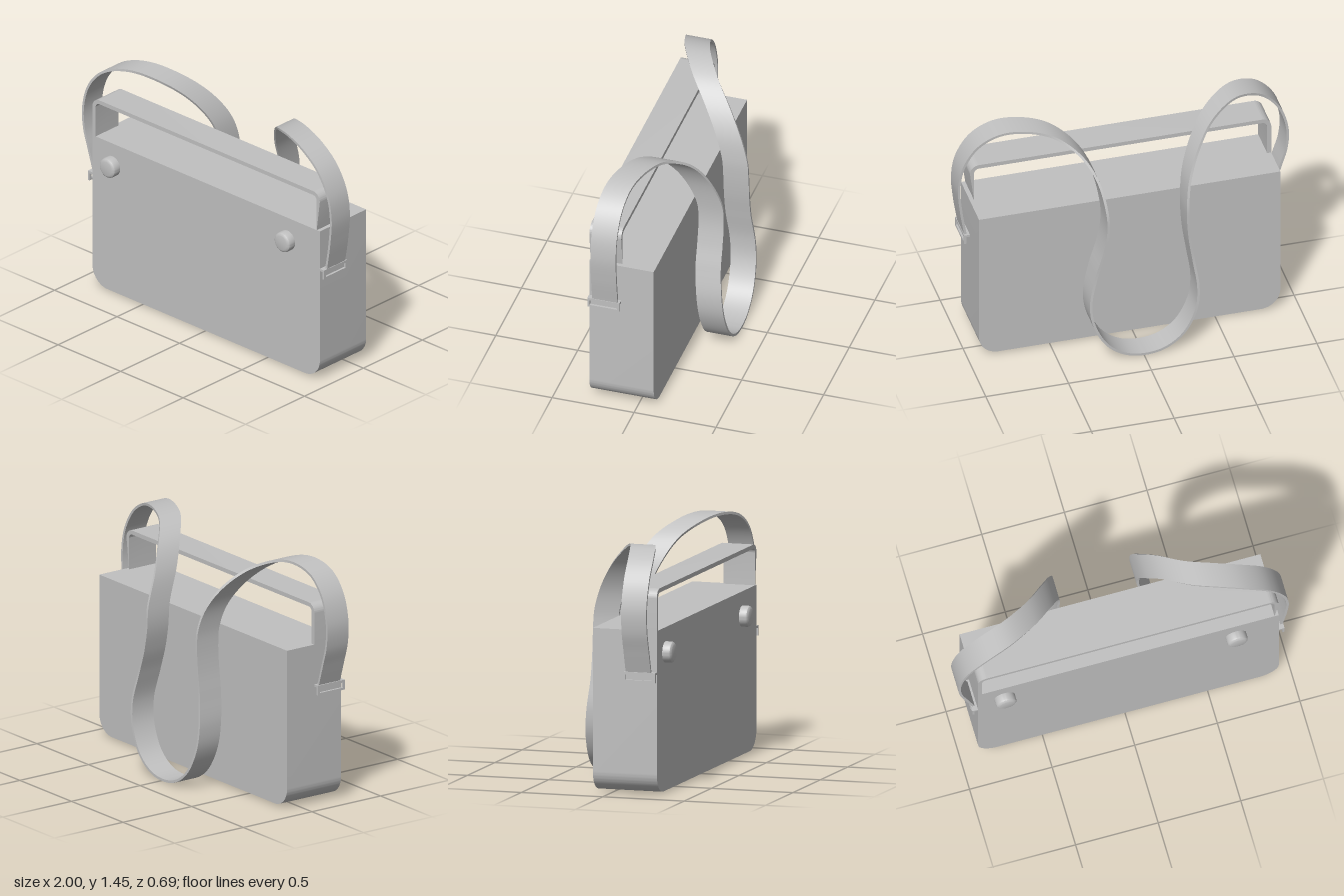
import * as THREE from 'three';
import { toCreasedNormals } from 'three/addons/utils/BufferGeometryUtils.js';

const grey = new THREE.MeshStandardMaterial({ color: 0xc0c0c0 });
grey.name = 'light grey';

const LEFT = -0.89, RIGHT = 0.93, TOP = 0.975, FRONT = 0.295;

function part(name, geometry) {
  const mesh = new THREE.Mesh(geometry, grey);
  mesh.name = name;
  return mesh;
}

// Extrude a front-facing shape from zBack to zFront with smooth rounded corners
function extrude(shape, zBack, zFront) {
  const g = new THREE.ExtrudeGeometry(shape, { depth: zFront - zBack, bevelEnabled: false, curveSegments: 14 });
  g.translate(0, 0, zBack);
  return toCreasedNormals(g, 0.5);
}

// Bag body: square at the top, rounded at the bottom
function bodyShape() {
  const r = 0.12, bottom = 0.012, s = new THREE.Shape();
  s.moveTo(RIGHT, TOP);
  s.lineTo(LEFT, TOP);
  s.lineTo(LEFT, bottom + r);
  s.absarc(LEFT + r, bottom + r, r, Math.PI, Math.PI * 1.5);
  s.lineTo(RIGHT - r, bottom);
  s.absarc(RIGHT - r, bottom + r, r, Math.PI * 1.5, Math.PI * 2);
  return s;
}

// Wide flat handle: an inverted U of constant thickness
function handleShape() {
  const t = 0.025, R = 0.055, r = R - t, top = 1.22, s = new THREE.Shape();
  s.moveTo(RIGHT, TOP);
  s.absarc(RIGHT - R, top - R, R, 0, Math.PI / 2);
  s.absarc(LEFT + R, top - R, R, Math.PI / 2, Math.PI);
  s.lineTo(LEFT, TOP);
  s.lineTo(LEFT + t, TOP);
  s.absarc(LEFT + R, top - R, r, Math.PI, Math.PI / 2, true);
  s.absarc(RIGHT - R, top - R, r, Math.PI / 2, 0, true);
  s.lineTo(RIGHT - t, TOP);
  return s;
}

// Round knob with a softened rim, facing the front
function knob(x) {
  const profile = [[0, 0], [0.062, 0], [0.062, 0.036], [0.059, 0.045], [0.049, 0.053], [0.045, 0.054], [0, 0.054]];
  const g = new THREE.LatheGeometry(profile.map(p => new THREE.Vector2(...p)), 40);
  g.rotateX(Math.PI / 2);
  g.translate(x, 0.83, FRONT);
  return part('knob', toCreasedNormals(g, 0.45));
}

// Slotted buckle plate with a short bar joining it to the bag's side
function buckle(sideX, dir, name) {
  const group = new THREE.Group();
  group.name = name;
  const rect = (Type, w, y0, y1) => new Type([[-w, y0], [w, y0], [w, y1], [-w, y1]].map(p => new THREE.Vector2(...p)));
  const frame = rect(THREE.Shape, 0.098, 0.672, 0.731);
  frame.holes.push(rect(THREE.Path, 0.084, 0.685, 0.717));
  const g = new THREE.ExtrudeGeometry(frame, { depth: 0.014, bevelEnabled: false });
  g.translate(0, 0, -0.007);
  g.rotateY(Math.PI / 2);
  g.translate(sideX + dir * 0.028, 0, 0.198);
  const bar = new THREE.BoxGeometry(0.036, 0.014, 0.196);
  bar.translate(sideX + dir * 0.017, 0.725, 0.198);
  group.add(part('buckleFrame', g), part('buckleBar', bar));
  return group;
}

// Strap centre line, from one buckle around the back to the other
const strapPath = [
  [-0.908, 0.725, 0.19], [-0.95, 0.86, 0.19], [-0.985, 0.98, 0.19], [-0.991, 1.12, 0.19],
  [-0.94, 1.28, 0.19], [-0.83, 1.395, 0.18], [-0.67, 1.437, 0.135], [-0.5, 1.38, 0.035],
  [-0.38, 1.265, -0.08], [-0.305, 1.12, -0.17], [-0.28, 0.98, -0.215], [-0.279, 0.87, -0.223],
  [-0.29, 0.73, -0.224], [-0.312, 0.58, -0.227], [-0.334, 0.4, -0.245], [-0.318, 0.26, -0.256],
  [-0.24, 0.11, -0.264], [-0.13, 0.03, -0.267], [-0.01, 0.008, -0.268], [0.11, 0.03, -0.267],
  [0.22, 0.11, -0.264], [0.298, 0.26, -0.256], [0.314, 0.4, -0.245], [0.275, 0.58, -0.227],
  [0.23, 0.73, -0.224], [0.204, 0.87, -0.223], [0.205, 1.0, -0.213], [0.24, 1.19, -0.135],
  [0.32, 1.33, -0.05], [0.45, 1.415, 0.055], [0.6, 1.438, 0.12], [0.75, 1.415, 0.165],
  [0.88, 1.335, 0.185], [0.965, 1.2, 0.19], [0.991, 1.06, 0.19], [0.98, 0.9, 0.19], [0.953, 0.725, 0.19]
].map(p => new THREE.Vector3(...p));

// Band whose width runs along z, swept along the path
function strapGeometry() {
  const curve = new THREE.CatmullRomCurve3(strapPath, false, 'centripetal');
  const n = 240, w = 0.077, t = 0.0075, rings = [];
  for (let i = 0; i <= n; i++) {
    const p = curve.getPoint(i / n), d = curve.getTangent(i / n);
    const len = Math.hypot(d.x, d.y), nx = -d.y / len * t, ny = d.x / len * t;
    rings.push([[1, 1], [-1, 1], [-1, -1], [1, -1]].map(([a, b]) =>
      [p.x + nx * a, p.y + ny * a, p.z + w * b]));
  }
  const pos = [];
  const quad = (a, b, c, d) => pos.push(...a, ...b, ...c, ...a, ...c, ...d);
  for (let i = 0; i < n; i++) {
    for (let k = 0; k < 4; k++) {
      const m = (k + 1) % 4;
      quad(rings[i][k], rings[i + 1][k], rings[i + 1][m], rings[i][m]);
    }
  }
  quad(...rings[0]);
  quad(...rings[n].slice().reverse());
  // Turn the faces outward if the enclosed volume comes out negative
  let volume = 0;
  const v = i => new THREE.Vector3(pos[i], pos[i + 1], pos[i + 2]);
  for (let i = 0; i < pos.length; i += 9) volume += v(i).dot(v(i + 3).cross(v(i + 6)));
  if (volume < 0) {
    for (let i = 0; i < pos.length; i += 9) {
      for (let k = 3; k < 6; k++) [pos[i + k], pos[i + k + 3]] = [pos[i + k + 3], pos[i + k]];
    }
  }
  const g = new THREE.BufferGeometry();
  g.setAttribute('position', new THREE.Float32BufferAttribute(pos, 3));
  return toCreasedNormals(g, 0.6);
}

export function createModel() {
  const bag = new THREE.Group();
  bag.name = 'bag';
  bag.add(
    part('body', extrude(bodyShape(), -0.098, FRONT)),
    part('handle', extrude(handleShape(), 0.1, FRONT)),
    knob(-0.73), knob(0.67),
    buckle(LEFT, -1, 'rightBuckle'), buckle(RIGHT, 1, 'leftBuckle'),
    part('shoulderStrap', strapGeometry())
  );
  return bag;
}
